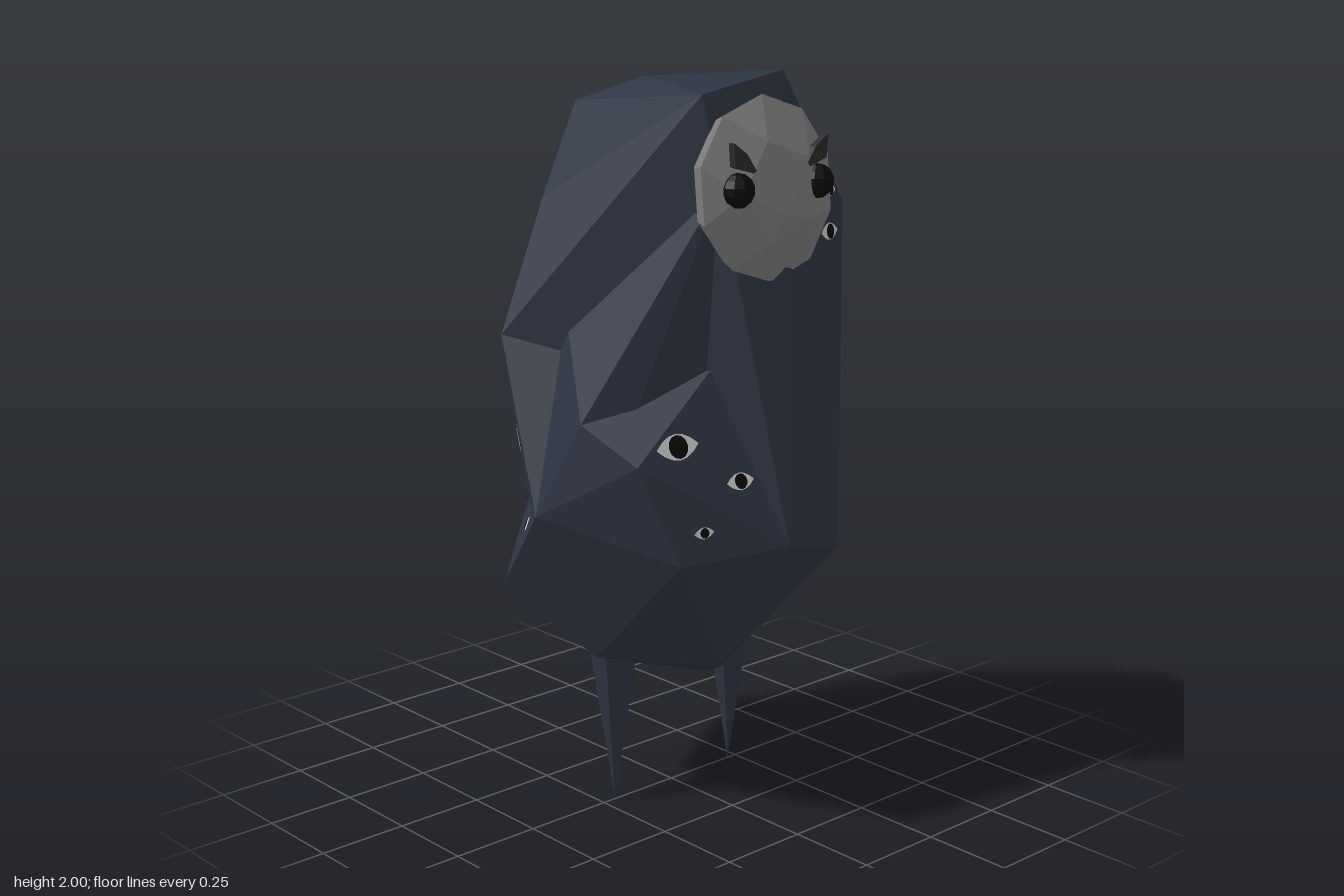
import * as THREE from 'three';
import { ConvexGeometry } from 'three/addons/geometries/ConvexGeometry.js';

const material = (color) => new THREE.MeshStandardMaterial({ color, flatShading: true });
const cloak = material(0x2d3442);
const mask = material(0x7c7c7c);
const white = material(0xcccccc);
const black = material(0x0a0a0a);
const browMat = material(0x2a2a2a);

function add(parent, name, geometry, mat) {
  const mesh = new THREE.Mesh(geometry, mat);
  mesh.name = name;
  parent.add(mesh);
  return mesh;
}

// faceted solid spanned by a few corner points
const hull = (points) => new ConvexGeometry(points.map((p) => new THREE.Vector3(...p)));

// corners shared between the body solids
const chest = [-0.02, 0.8, 0.475];
const backLow = [-0.12, 0.75, -0.475];
const shoulder = [-0.45, 1.32, -0.16];
const fold = [-0.33, 1.37, -0.04];
const elbow = [-0.505, 0.88, 0.04];
const ledgeInner = [-0.13, 1.26, 0.3];
const ledgeMiddle = [-0.34, 1.16, 0.24];
const ledgeOuter = [-0.46, 1.14, 0.17];
const bellyFront = [-0.11, 0.455, 0.32];
const bellySide = [-0.29, 0.44, 0.02];

// almond eye, facing +z, lying on the surface
function makeEye(width) {
  const eye = new THREE.Group();
  eye.name = 'bodyEye';
  const w = width / 2;
  const almond = new THREE.Shape();
  almond.moveTo(-w, 0);
  almond.quadraticCurveTo(0, -w, w, 0);
  almond.quadraticCurveTo(0, w, -w, 0);
  add(eye, 'eyeWhite', new THREE.ShapeGeometry(almond, 6), white).position.z = 0.003;
  add(eye, 'pupil', new THREE.CircleGeometry(w * 0.45, 12), black).position.z = 0.006;
  return eye;
}

export function createModel() {
  const model = new THREE.Group();
  model.name = 'cloakedCreature';

  // body: main mass, bulging right arm, the upper arm above it and the flank behind it
  const body = new THREE.Group();
  body.name = 'body';
  model.add(body);
  add(body, 'mainBody', hull([
    [-0.16, 1.95, 0.29], [0.08, 2, 0.33], [0.17, 1.97, 0.25], [0.2, 1.91, -0.07],
    [0.11, 1.9, -0.2], [-0.15, 1.9, -0.21], [-0.07, 1.97, -0.03],
    [0.35, 1.64, 0.29], [0.505, 1.23, 0.09], [0.45, 0.95, -0.05], [0.45, 0.73, -0.11],
    [0.14, 1.36, -0.42], [-0.08, 0.94, -0.45], [0.07, 0.6, -0.475], backLow,
    [-0.33, 1.67, -0.13], shoulder,
    chest, [0.22, 0.74, 0.42], bellyFront, bellySide, [0.28, 0.42, 0.07], [0.04, 0.34, 0.1],
  ]), cloak);
  add(body, 'armBulge', hull([
    ledgeInner, ledgeMiddle, ledgeOuter, [-0.435, 1.06, 0.355], [-0.345, 0.8, 0.42],
    elbow, [-0.41, 0.62, -0.22], backLow, bellySide, bellyFront, chest,
  ]), cloak);
  add(body, 'upperArm', hull([
    [-0.13, 1.72, 0.325], fold, ledgeOuter, ledgeMiddle, ledgeInner, elbow,
  ]), cloak);
  add(body, 'flank', hull([shoulder, fold, elbow, backLow]), cloak);

  // body eyes: [point the ray passes through, width], grouped by viewing direction
  const slant = (u, v) => [-0.814 * u + 0.245 * v, 0.906 * v, 0.581 * u + 0.344 * v];
  const eyeSets = [
    { from: [0, 0, 1], eyes: [
      [[-0.3, 1.09, 0], 0.135], [[-0.13, 0.98, 0], 0.09], [[-0.27, 0.875, 0], 0.06],
      [[0.28, 1.675, 0], 0.06], [[0.265, 1.57, 0], 0.09], [[0.34, 1.4, 0], 0.06]] },
    { from: [1, 0, 0], eyes: [
      [[0, 1.64, -0.14], 0.08], [[0, 1.535, -0.22], 0.06], [[0, 1.3, -0.145], 0.1]] },
    { from: [-0.526, 0.4225, -0.737], eyes: [
      [slant(0.103, 0.733), 0.13], [slant(0.242, 0.583), 0.075], [slant(0.264, 0.822), 0.055]] },
  ];
  body.updateMatrixWorld(true);
  for (const { from, eyes } of eyeSets) {
    const toEye = new THREE.Vector3(...from).normalize();
    for (const [point, width] of eyes) {
      const origin = new THREE.Vector3(...point).addScaledVector(toEye, 5);
      const ray = new THREE.Raycaster(origin, toEye.clone().negate());
      const hit = ray.intersectObjects(body.children)[0];
      const eye = makeEye(width);
      eye.position.copy(hit.point);
      eye.lookAt(hit.point.clone().add(hit.face.normal));
      model.add(eye);
    }
  }

  // face: shallow faceted dome leaning with the chest
  const face = new THREE.Group();
  face.name = 'face';
  model.add(face);
  const dome = [[0, 1.65, 0.43]];
  for (const [count, radius, z, turn] of [[10, 0.215, 0.315, 0], [10, 0.235, 0.36, 0], [5, 0.13, 0.41, 0.3]]) {
    for (let i = 0; i < count; i++) {
      const a = (i / count) * Math.PI * 2 + Math.PI / 2 + turn;
      const y = 1.71 + radius * Math.sin(a);
      dome.push([radius * Math.cos(a), y, z + 0.1 * (1.71 - y)]);
    }
  }
  add(face, 'faceMask', hull(dome), mask);

  // face eyes and slanted brows, mirrored
  for (const side of [-1, 1]) {
    const eye = add(face, 'faceEye', new THREE.SphereGeometry(0.045, 10, 7), black);
    eye.position.set(side * 0.14 + 0.006, 1.72, 0.39);
    const brow = [];
    for (const [x, y] of [[0.165, 1.84], [0.12, 1.81], [0.08, 1.755], [0.16, 1.78]]) {
      brow.push([side * x + 0.005, y, 0.385], [side * x + 0.005, y, 0.405]);
    }
    add(face, 'brow', hull(brow), browMat);
  }

  // legs: spikes standing on their tips
  for (const x of [-0.21, 0.22]) {
    const spike = new THREE.ConeGeometry(0.075, 0.5, 6);
    spike.rotateX(Math.PI);
    add(model, 'leg', spike, cloak).position.set(x, 0.25, 0);
  }
  return model;
}
